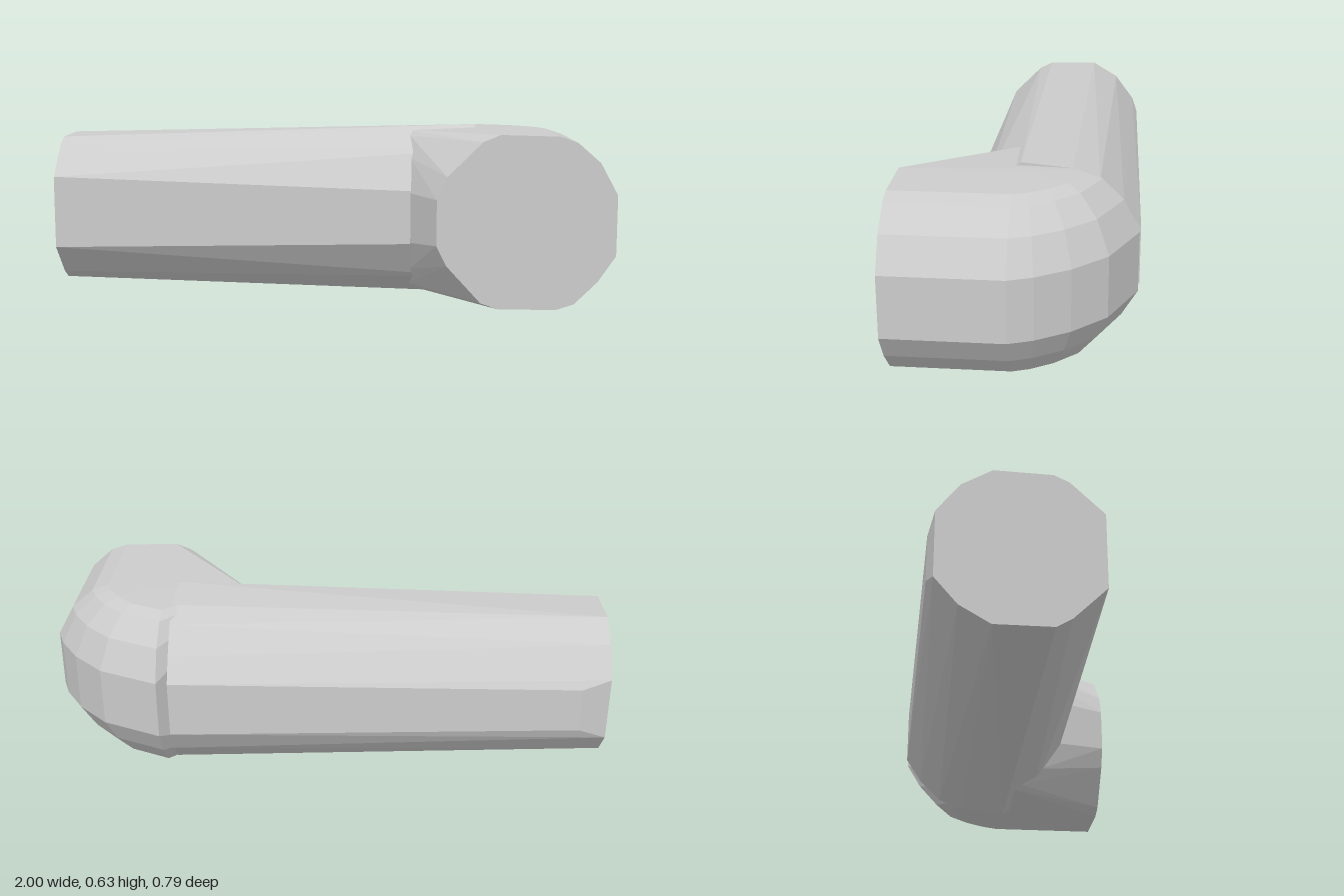
import * as THREE from 'three';
import { ConvexGeometry } from 'three/addons/geometries/ConvexGeometry.js';

const V = (x, y, z) => new THREE.Vector3(x, y, z);

// A faceted convex solid wrapped around cross-sections
function solid(name, points) {
  const material = new THREE.MeshStandardMaterial({ color: 0xcccccc, flatShading: true });
  const mesh = new THREE.Mesh(new ConvexGeometry(points), material);
  mesh.name = name;
  return mesh;
}

export function createModel() {
  const group = new THREE.Group();
  group.name = 'bentPipe';

  // Long arm: two sections as [z, y], the far end slightly smaller
  const farEnd = [[0.18, 0.19], [0.18, 0.45], [0.07, 0.56], [0.02, 0.585], [-0.17, 0.59], [-0.27, 0.53],
    [-0.345, 0.43], [-0.345, 0.2], [-0.27, 0.11], [-0.17, 0.05], [0.02, 0.05], [0.07, 0.08]];
  const nearEnd = [[0.213, 0.22], [0.213, 0.4], [0.12, 0.55], [0, 0.635], [-0.17, 0.62], [-0.26, 0.585],
    [-0.34, 0.5], [-0.397, 0.42], [-0.397, 0.22], [-0.34, 0.13], [-0.26, 0.05], [-0.17, 0.017], [0, 0], [0.12, 0.08]];
  const armPoints = [
    ...farEnd.map(([z, y]) => V(-1, y, z)),
    ...nearEnd.map(([z, y]) => V(0.54, y, z)),
    V(-0.9, 0.24, -0.365), V(-0.9, 0.4, -0.365),
  ];
  group.add(solid('longArm', armPoints));

  // Elbow: the flat mouth section as [x, y]
  const mouth = [[0.385, 0.4], [0.385, 0.24], [0.42, 0.17], [0.54, 0.04], [0.6, 0.02], [0.8, 0.02], [0.86, 0.04],
    [0.94, 0.12], [1, 0.21], [1, 0.42], [0.94, 0.53], [0.86, 0.6], [0.8, 0.62], [0.6, 0.625], [0.54, 0.6], [0.42, 0.48]];
  const elbowPoints = mouth.map(([x, y]) => V(x, y, 0.393));

  // Rounded outer bend: the outer half of the mouth swept around a pivot
  const pivot = 0.56;
  const bend = [[1, 0], [0.97, -0.08], [0.9, -0.19], [0.79, -0.3], [0.58, -0.393]];
  for (const [bx, bz] of bend) {
    for (const [x, y] of mouth) {
      if (x <= pivot) continue;
      const s = (x - pivot) / (1 - pivot);
      elbowPoints.push(V(pivot + (bx - pivot) * s, y, bz * s));
    }
  }

  // Inner collar where the elbow meets the arm, as [z, y]
  const collar = [[0.01, 0.613], [0.05, 0.595], [0.13, 0.52], [0.21, 0.4],
    [0.21, 0.22], [0.13, 0.11], [0.05, 0.04], [0.01, 0.022]];
  elbowPoints.push(...collar.map(([z, y]) => V(0.3, y, z)));
  group.add(solid('elbow', elbowPoints));

  return group;
}
